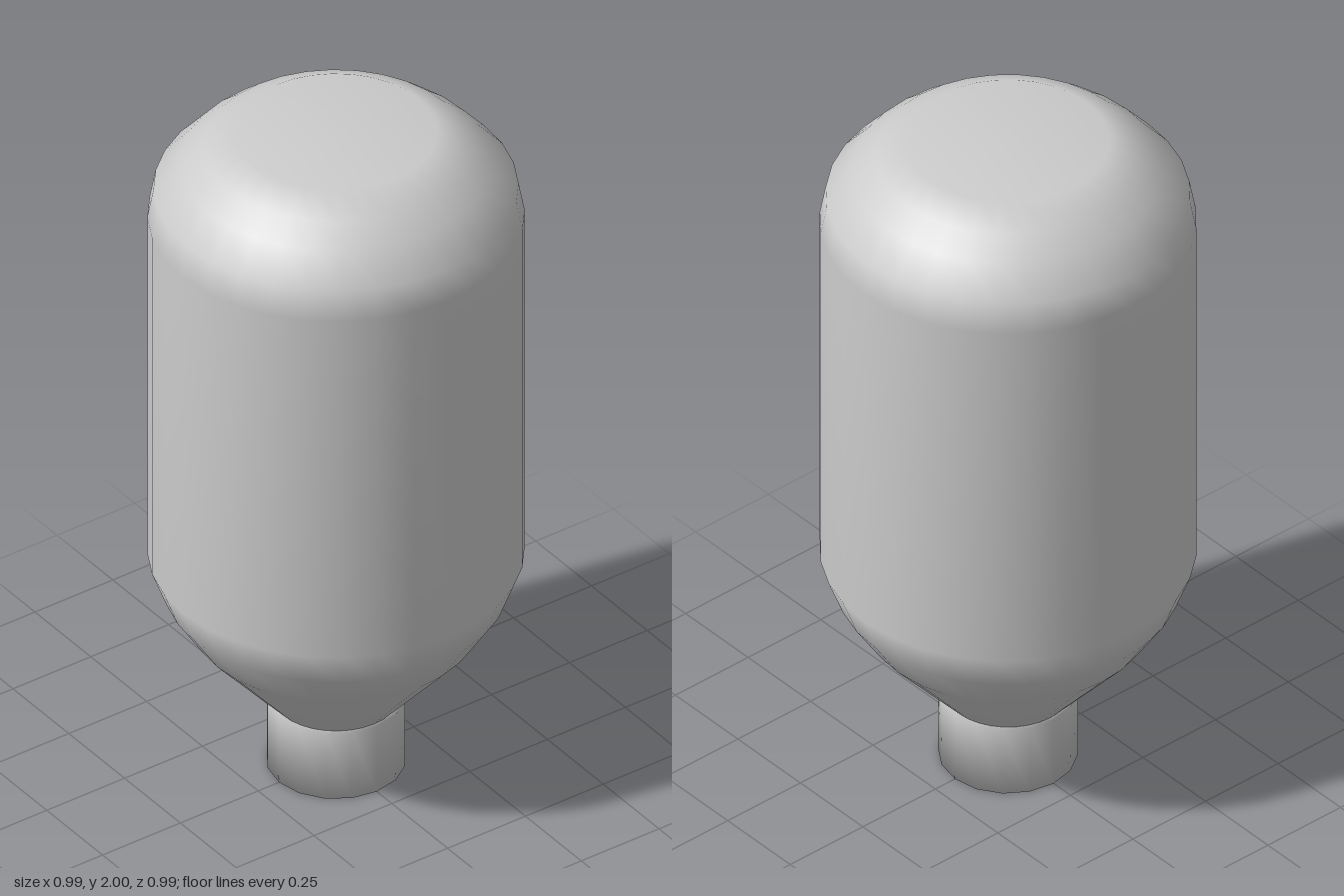
import * as THREE from 'three';

const material = new THREE.MeshStandardMaterial({ color: 0xcccccc });

// Revolve a [radius, height] profile, listed from bottom to top
function turned(name, profile, sides) {
  const points = profile.map(([r, y]) => new THREE.Vector2(r, y));
  const mesh = new THREE.Mesh(new THREE.LatheGeometry(points, sides), material);
  mesh.name = name;
  return mesh;
}

export function createModel() {
  const group = new THREE.Group();
  group.name = 'invertedBottle';

  // Tank: tapered shoulder, straight wall, rounded end with a small flat
  group.add(turned('tank', [
    [0.17, 0.208], [0.38, 0.447], [0.453, 0.56], [0.493, 0.667],
    [0.493, 1.74], [0.477, 1.825], [0.407, 1.905], [0.345, 1.957],
    [0.265, 2], [0, 2],
  ], 32));

  // Closed cap at the neck, with a narrow rim around the shoulder
  group.add(turned('neckCap', [
    [0, 0], [0.183, 0], [0.183, 0.208], [0.15, 0.208],
  ], 16));

  return group;
}
